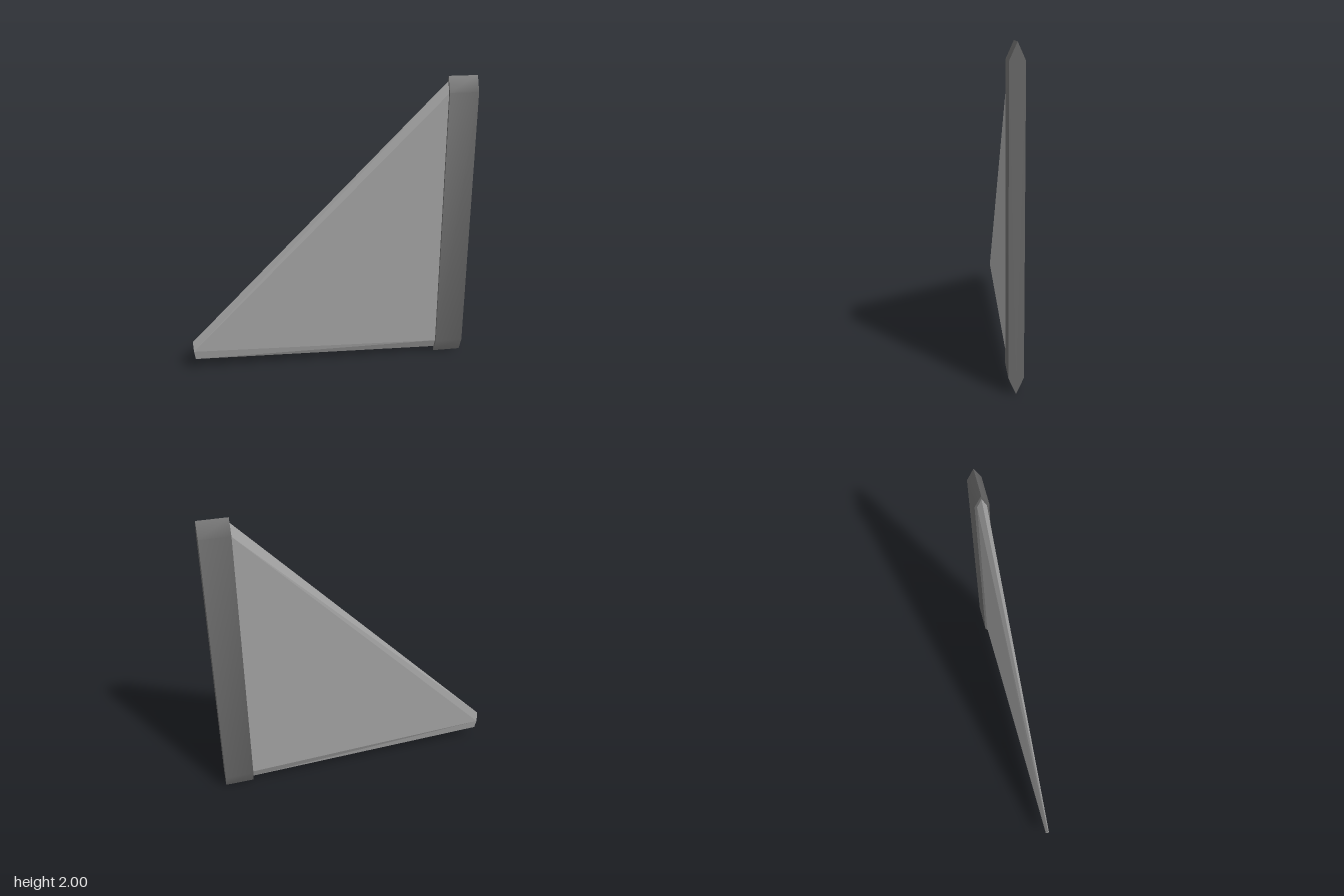
import * as THREE from 'three';
import { toCreasedNormals } from 'three/addons/utils/BufferGeometryUtils.js';

// Six-sided section: a ridge at each end and a flat panel on each side.
// Each end of the panel may lean in x (xBottom, xMid, xTop).
function section([xBottom, xMid, xTop], [y0, y1, y2, y3], z) {
  return [
    [xBottom, y0, 0], [xMid, y1, z], [xMid, y2, z],
    [xTop, y3, 0], [xMid, y2, -z], [xMid, y1, -z],
  ].map((p) => new THREE.Vector3(...p));
}

// Closed solid between a left (-x) and a right (+x) section.
function loft(a, b) {
  const points = [];
  const tri = (p, q, r) => {
    if (new THREE.Triangle(p, q, r).getArea() > 1e-7) points.push(p, q, r);
  };
  const n = a.length;
  for (let i = 0; i < n; i++) {
    const j = (i + 1) % n;
    tri(a[i], b[i], b[j]);
    tri(a[i], b[j], a[j]);
  }
  for (let i = 1; i < n - 1; i++) {
    tri(a[0], a[i], a[i + 1]);
    tri(b[0], b[i + 1], b[i]);
  }
  const geometry = new THREE.BufferGeometry().setFromPoints(points);
  geometry.computeVertexNormals();
  return geometry;
}

export function createModel() {
  const group = new THREE.Group();
  group.name = 'fin';

  const lightGrey = new THREE.MeshStandardMaterial({ color: 0xa0a0a0 });
  lightGrey.name = 'light grey';
  const darkGrey = new THREE.MeshStandardMaterial({ color: 0x676767 });
  darkGrey.name = 'dark grey';

  // Tapered triangular blade with bevelled edges
  const blade = new THREE.Mesh(loft(
    section([-0.945, -0.953, -0.957], [0.085, 0.15, 0.15, 0.22], 0.012),
    section([0.77, 0.77, 0.77], [0.035, 0.1, 1.9, 1.975], 0.03),
  ), lightGrey);
  blade.name = 'blade';

  // Upright bar with wedge-shaped ends, softly shaded along its sides
  const barHeights = [0, 0.1, 1.9, 2];
  const bar = new THREE.Mesh(toCreasedNormals(loft(
    section([0.762, 0.762, 0.762], barHeights, 0.045),
    section([0.955, 0.955, 0.955], barHeights, 0.045),
  ), Math.PI / 6), darkGrey);
  bar.name = 'edgeBar';

  group.add(blade, bar);
  return group;
}
